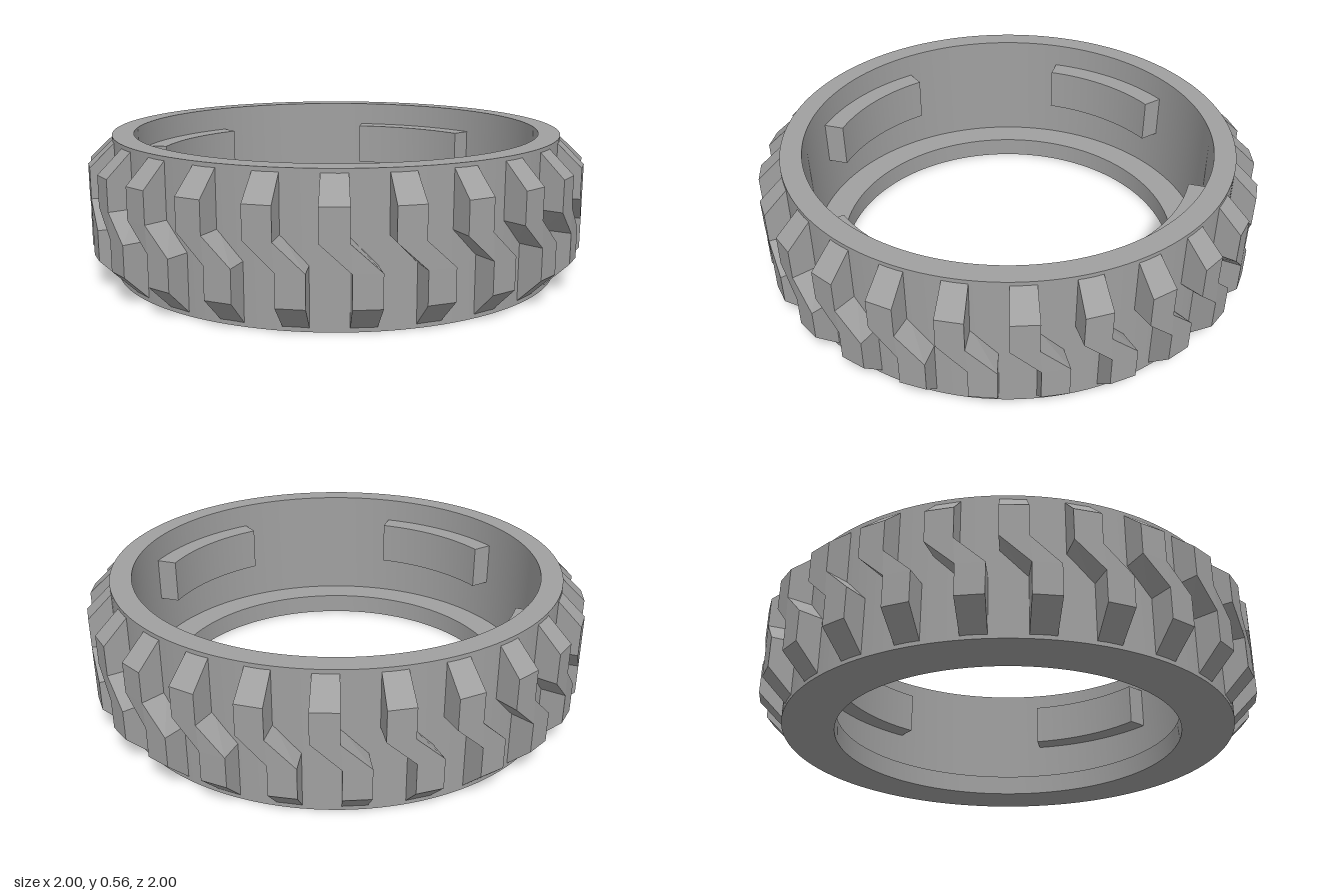
import * as THREE from 'three';
import { toCreasedNormals } from 'three/addons/utils/BufferGeometryUtils.js';

const rubber = new THREE.MeshStandardMaterial({ color: 0xa0a0a0 });
rubber.name = 'grey rubber';

const TREADS = 25;
const OUTER = 0.905;
const BORE = 0.82;

function addMesh(parent, name, geometry) {
  const mesh = new THREE.Mesh(geometry, rubber);
  mesh.name = name;
  parent.add(mesh);
  return mesh;
}

// Hollow ring with an inward lip at the bottom
function ringGeometry() {
  const profile = [
    [0.7, 0], [OUTER, 0], [OUTER, 0.555], [BORE, 0.555],
    [BORE, 0.085], [0.7, 0.085], [0.7, 0],
  ].map(([r, y]) => new THREE.Vector2(r, y));
  return toCreasedNormals(new THREE.LatheGeometry(profile, 144), 0.6);
}

// Curved lug standing in from the bore
function lugGeometry() {
  const half = THREE.MathUtils.degToRad(20);
  const shape = new THREE.Shape();
  shape.absarc(0, 0, BORE + 0.01, -half, half, false);
  shape.absarc(0, 0, 0.737, half, -half, true);
  shape.closePath();
  const geometry = new THREE.ExtrudeGeometry(shape, { depth: 0.18, bevelEnabled: false, curveSegments: 20 });
  geometry.rotateX(-Math.PI / 2);
  return toCreasedNormals(geometry, 0.6);
}

// Zigzag tread block, lofted upwards through sections of [height, radius, sideways angle]
function treadGeometry() {
  const half = 0.051;
  const shift = 0.108;
  const inner = 0.89;
  const rings = [
    [0.015, OUTER, shift], [0.11, 1, shift], [0.23, 1, shift],
    [0.33, 1, 0], [0.45, 1, 0], [0.54, OUTER, 0],
  ].map(([y, r, a]) => [[r, a - half], [r, a + half], [inner, a + half], [inner, a - half]]
    .map(([radius, angle]) => [radius * Math.sin(angle), y, radius * Math.cos(angle)]));

  const positions = [];
  for (let i = 0; i < rings.length - 1; i++) {
    for (let k = 0; k < 4; k++) {
      const n = (k + 1) % 4;
      const a = rings[i][k], b = rings[i][n], c = rings[i + 1][n], d = rings[i + 1][k];
      positions.push(...a, ...b, ...c, ...a, ...c, ...d);
    }
  }
  const geometry = new THREE.BufferGeometry();
  geometry.setAttribute('position', new THREE.Float32BufferAttribute(positions, 3));
  geometry.computeVertexNormals();
  return geometry;
}

export function createModel() {
  const model = new THREE.Group();
  model.name = 'tyre';

  addMesh(model, 'tyreRing', ringGeometry());

  // Four lugs inside, one on each axis
  const lug = lugGeometry();
  for (let i = 0; i < 4; i++) {
    const mesh = addMesh(model, 'innerLug', lug);
    mesh.position.y = 0.275;
    mesh.rotation.y = i * Math.PI / 2;
  }

  // Tread blocks around the outside
  const treads = new THREE.Group();
  treads.name = 'treads';
  model.add(treads);
  const tread = treadGeometry();
  for (let i = 0; i < TREADS; i++) {
    addMesh(treads, 'treadBlock', tread).rotation.y = i * 2 * Math.PI / TREADS;
  }

  return model;
}
